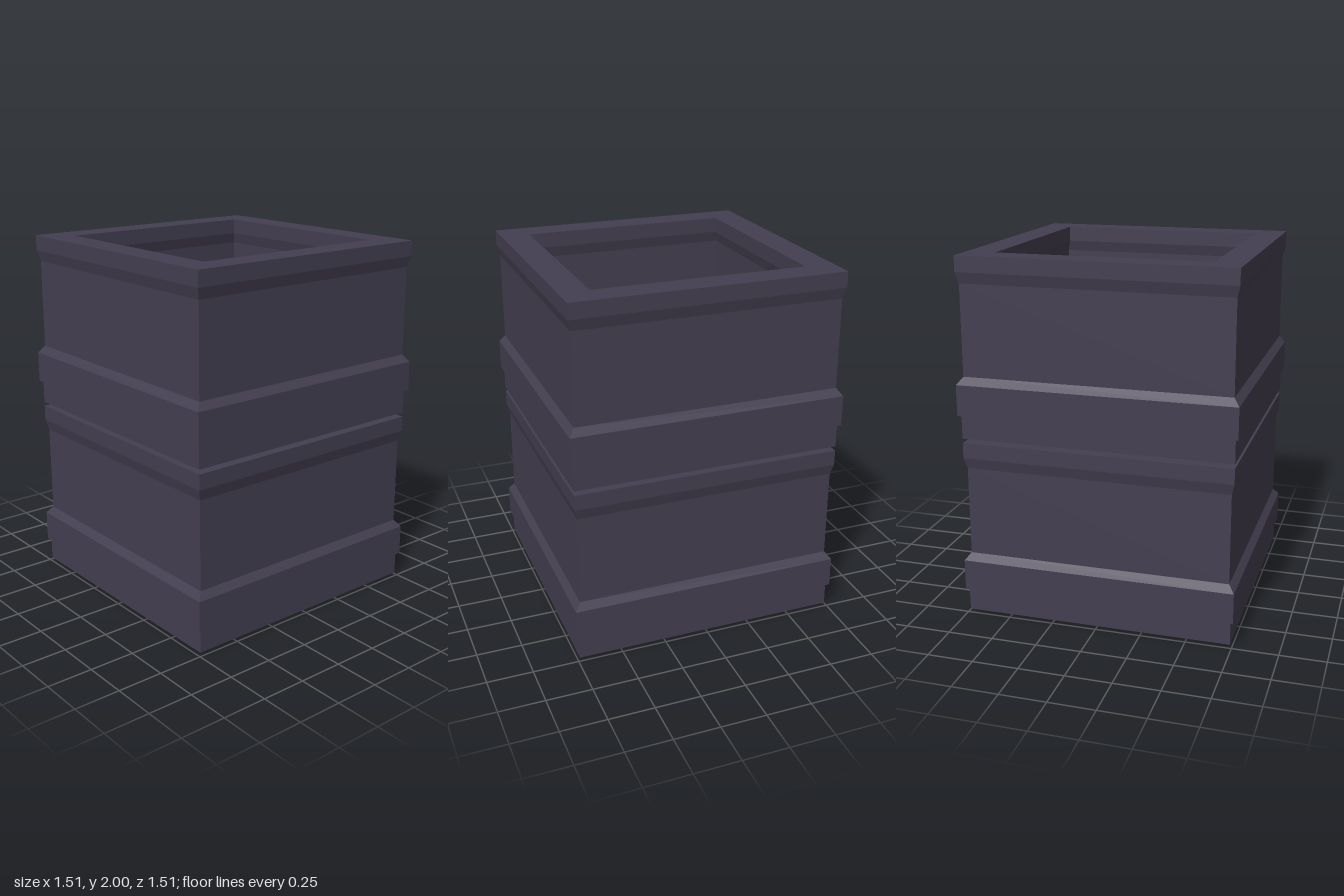
import * as THREE from 'three';

const wallMat = new THREE.MeshStandardMaterial({ color: 0x443f51, flatShading: true, side: THREE.DoubleSide });
wallMat.name = 'dusky stone';
const woodMat = new THREE.MeshStandardMaterial({ color: 0x4a3020, flatShading: true });
woodMat.name = 'brown wood';

// box given by its two opposite corners
function box(name, [x0, y0, z0], [x1, y1, z1], mat = wallMat) {
  const mesh = new THREE.Mesh(new THREE.BoxGeometry(x1 - x0, y1 - y0, z1 - z0), mat);
  mesh.position.set((x0 + x1) / 2, (y0 + y1) / 2, (z0 + z1) / 2);
  mesh.name = name;
  return mesh;
}

// square ring wall: half thickness and height, mirrored to the inside
function wallTier(name, y) {
  const mid = 0.66;
  const half = [
    [0.08, 0.015], [0.08, 0.145], [0.096, 0.145], [0.096, 0.315],
    [0.065, 0.355], [0.065, 0.85], [0.08, 0.91], [0.08, 0.995],
  ];
  const outer = half.map(([t, h]) => [mid + t, h]);
  const inner = half.map(([t, h]) => [mid - t, h]).reverse();
  const profile = [...outer, ...inner, outer[0]]
    .map(([r, h]) => new THREE.Vector2(r * Math.SQRT2, h));
  const mesh = new THREE.Mesh(new THREE.LatheGeometry(profile, 4, Math.PI / 4), wallMat);
  mesh.position.y = y;
  mesh.name = name;
  return mesh;
}

// toothed rail running along z
function toothedRail() {
  const z0 = -0.565, z1 = 0.39, teeth = 16, pitch = (z1 - z0) / teeth;
  const shape = new THREE.Shape();
  shape.moveTo(-z0, 0.015);
  shape.lineTo(-z1, 0.015);
  for (let i = 0; i < teeth; i++) {
    const s = -z1 + i * pitch;
    shape.lineTo(s, 0.05);
    shape.lineTo(s + pitch / 2, 0.085);
  }
  shape.lineTo(-z0, 0.05);
  const geo = new THREE.ExtrudeGeometry(shape, { depth: 0.035, bevelEnabled: false });
  geo.rotateY(Math.PI / 2);
  const mesh = new THREE.Mesh(geo, wallMat);
  mesh.position.x = 0.21;
  mesh.name = 'toothedRail';
  return mesh;
}

// stepped corner terrace with a straight run of steps and a front plate
function cornerSteps() {
  const g = new THREE.Group();
  g.name = 'cornerSteps';
  for (let i = 0; i < 5; i++) {
    const y = 0.55 - i * 0.03;
    g.add(box('terraceBack', [-0.59, y - 0.03, -0.59], [-0.2 + i * 0.022, y, -0.545 + i * 0.026]));
  }
  for (let i = 0; i < 8; i++) {
    const y = 0.4 - i * 0.02;
    g.add(box('step', [-0.11 + i * 0.024, y - 0.02, -0.59], [-0.086 + i * 0.024, y, -0.415]));
  }
  g.add(box('frontPlate', [-0.59, 0.36, -0.43], [0.03, 0.42, -0.395]));
  g.add(box('frontPlateTrim', [-0.41, 0.42, -0.43], [-0.12, 0.428, -0.41]));
  return g;
}

// bracketed shelf on the side wall with a rim
function wallShelf() {
  const g = new THREE.Group();
  g.name = 'wallShelf';
  g.add(box('shelfBody', [-0.6, 0.47, -0.265], [-0.285, 0.56, 0.13]));
  g.add(box('shelfRim', [-0.6, 0.5, -0.28], [-0.27, 0.54, 0.145]));
  g.add(box('shelfTop', [-0.6, 0.56, -0.235], [-0.31, 0.58, 0.1]));
  return g;
}

export function createModel() {
  const model = new THREE.Group();
  model.name = 'walledTower';
  model.add(wallTier('lowerWall', 0), wallTier('upperWall', 1.005));

  // floor walkway with wooden edges
  const [front, back] = [0.66, -0.58];
  model.add(box('walkway', [0.115, 0, back], [0.21, 0.012, front]));
  for (const x of [0.08, 0.21]) {
    model.add(box('walkwayEdge', [x, 0, back], [x + 0.035, 0.015, front], woodMat));
  }
  model.add(toothedRail(), cornerSteps(), wallShelf());
  return model;
}
